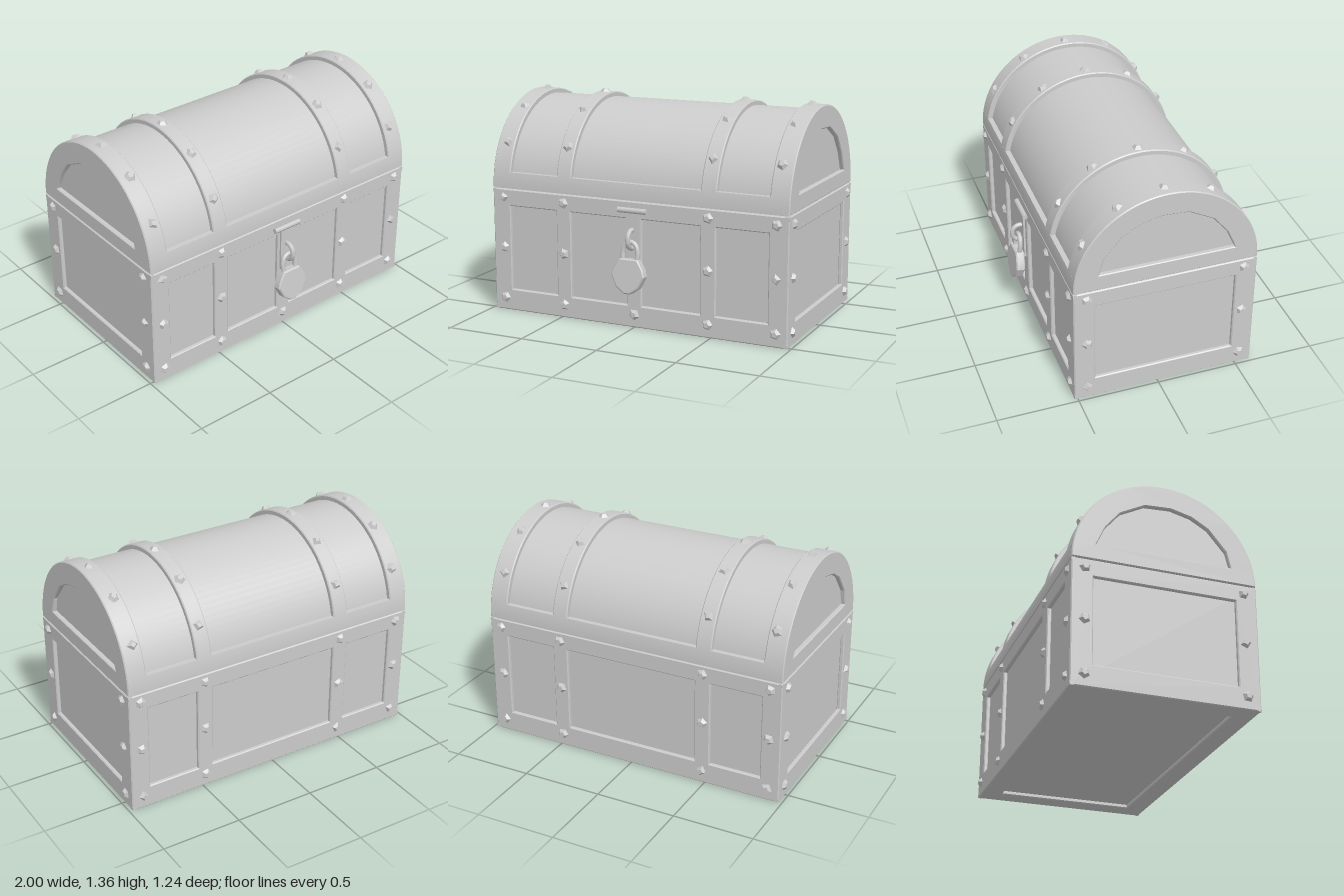
import * as THREE from 'three';
import { toCreasedNormals } from 'three/addons/utils/BufferGeometryUtils.js';

const W = 0.98, D = 0.56, H = 0.775, LID = 0.78, R = 0.56, T = 0.028, B = 0.006;
const mat = new THREE.MeshStandardMaterial({ color: 0xcccccc });
const faceted = new THREE.MeshStandardMaterial({ color: 0xcccccc, flatShading: true });

function add(parent, name, geo, material = mat) {
  const m = new THREE.Mesh(geo, material);
  m.name = name;
  parent.add(m);
  return m;
}

const rect = (x0, x1, y0, y1, Type = THREE.Path) => new Type(
  [[x0, y0], [x1, y0], [x1, y1], [x0, y1]].map(p => new THREE.Vector2(...p)));

// chamfered extrusion whose total thickness is d, outer face at z = 0
function slab(shape, d, bevel = B) {
  const g = new THREE.ExtrudeGeometry(shape, {
    depth: d - 2 * bevel, bevelEnabled: bevel > 0, bevelThickness: bevel,
    bevelSize: bevel, bevelOffset: -bevel, bevelSegments: 1, curveSegments: 22,
  });
  g.translate(0, 0, bevel - d);
  return toCreasedNormals(g, 0.4);
}

// flat frame with rectangular openings
function frame(x, y0, y1, holes) {
  const s = rect(-x, x, y0, y1, THREE.Shape);
  s.holes = holes.map(h => rect(...h));
  return slab(s, T);
}

// profile (across the chest) swept along x from x0 to x1
function sweep(shape, x0, x1, bevel = B) {
  return slab(shape, x1 - x0, bevel).rotateY(Math.PI / 2).translate(x1, 0, 0);
}

function arch(r) {
  const s = new THREE.Shape();
  s.absarc(0, LID, r, 0, Math.PI, false);
  s.closePath();
  return s;
}

function buildBody(chest) {
  const body = new THREE.Group();
  body.name = 'body';
  chest.add(body);
  add(body, 'recessedPanels', new THREE.BoxGeometry(2 * (W - T + 0.002), H - T, 2 * (D - T + 0.002)))
    .position.y = (H + T) / 2 - 0.004;

  const y0 = 0.135, y1 = 0.67;
  const outer = [[-0.857, -0.53, y0, y1], [0.53, 0.857, y0, y1]];
  add(body, 'frontFrame', frame(W, 0, H, [...outer, [-0.43, -0.05, y0, y1], [0.05, 0.43, y0, y1]]))
    .position.z = D;
  const back = add(body, 'backFrame', frame(W, 0, H, [...outer, [-0.43, 0.43, y0, y1]]));
  back.position.z = -D;
  back.rotation.y = Math.PI;
  for (const s of [-1, 1]) {
    const side = add(body, s > 0 ? 'leftFrame' : 'rightFrame', frame(D, 0, H, [[-0.43, 0.43, y0, y1]]));
    side.position.x = s * W;
    side.rotation.y = s * Math.PI / 2;
  }
  add(body, 'bottomFrame', frame(W, -D, D, [[-W + 0.13, W - 0.13, -D + 0.13, D - 0.13]]))
    .rotation.x = Math.PI / 2;
  add(body, 'topRim', frame(W, -D, D, [])).position.y = H;
  body.getObjectByName('topRim').rotation.x = -Math.PI / 2;
}

function buildLid(chest) {
  const lid = new THREE.Group();
  lid.name = 'lid';
  chest.add(lid);
  add(lid, 'lidVault', sweep(arch(R - 0.03), -W + T, W - T, 0));

  // end bands with a sunken arched panel
  const end = arch(R);
  end.holes.push(new THREE.Path([
    [-0.405, 0.88], [-0.38, 0.98], [-0.27, 1.11], [-0.165, 1.17], [-0.04, 1.2],
    [0.12, 1.19], [0.27, 1.11], [0.36, 1.0], [0.415, 0.88],
  ].map(p => new THREE.Vector2(...p))));
  add(lid, 'rightEndBand', sweep(end, -W, -0.857));
  add(lid, 'leftEndBand', sweep(end, 0.857, W));
  add(lid, 'rightMiddleBand', sweep(arch(R), -0.53, -0.43));
  add(lid, 'leftMiddleBand', sweep(arch(R), 0.43, 0.53));

  // lower rail along front and back
  const a = Math.asin(0.1 / R), rail = new THREE.Shape();
  rail.absarc(0, LID, R, 0, a, false);
  rail.absarc(0, LID, R, Math.PI - a, Math.PI, false);
  rail.closePath();
  add(lid, 'lidRail', sweep(rail, -0.95, 0.95));
}

function buildStuds(chest) {
  const studs = new THREE.Group();
  studs.name = 'studs';
  chest.add(studs);
  const kinds = [4, 5, 5].map((n, i) =>
    new THREE.CylinderGeometry(0.018, 0.038, 0.022, n).translate(0, 0.008, 0).scale(1, 1, 0.86 + 0.06 * i));
  const up = new THREE.Vector3(0, 1, 0);
  let seed = 7;
  const rand = () => (seed = (seed * 16807) % 2147483647) / 2147483647;
  const stud = (x, y, z, nx, ny, nz) => {
    const m = add(studs, 'stud', kinds[Math.floor(rand() * 3)], faceted);
    m.position.set(x, y, z);
    m.quaternion.setFromUnitVectors(up, new THREE.Vector3(nx, ny, nz));
    m.rotateY(rand() * Math.PI * 2);
  };
  const columns = [-0.905, -0.48, 0.48, 0.905];
  for (const y of [0.08, 0.405, 0.722]) {
    for (const s of [-1, 1]) {
      for (const x of columns) stud(x, y, s * D, 0, 0, s);
      for (const z of [-0.48, 0.48]) stud(s * W, y, z, s, 0, 0);
    }
  }
  stud(0, 0.08, D, 0, 0, 1);
  for (const x of columns) {
    for (const deg of [-60, -30, 0, 30, 60]) {
      const t = deg * Math.PI / 180, c = Math.cos(t), s = Math.sin(t);
      stud(x, LID + R * c, R * s, 0, c, s);
    }
  }
}

const tube = (pts, r) => new THREE.TubeGeometry(
  new THREE.CatmullRomCurve3(pts.map(p => new THREE.Vector3(...p))), 20, r, 8);

function buildLock(chest) {
  const lock = new THREE.Group();
  lock.name = 'lock';
  lock.position.z = D;
  chest.add(lock);
  add(lock, 'haspHinge', new THREE.CylinderGeometry(0.017, 0.017, 0.19, 8).rotateZ(Math.PI / 2))
    .position.set(0, 0.725, 0.02);
  add(lock, 'haspStrap', new THREE.BoxGeometry(0.084, 0.33, 0.012)).position.set(0, 0.555, 0.014);
  add(lock, 'staple', tube([[0, 0.605, 0], [0, 0.608, 0.045], [0, 0.585, 0.075],
    [0, 0.535, 0.078], [0, 0.505, 0.05], [0, 0.495, 0]], 0.015));

  // padlock hangs tilted, its lower end away from the chest
  const padlock = new THREE.Group();
  padlock.name = 'padlock';
  padlock.position.set(0, 0.44, 0.052);
  padlock.rotation.x = -0.12;
  lock.add(padlock);
  const half = [[0.02, -0.21], [0.075, -0.17], [0.108, -0.1], [0.098, -0.06], [0.06, 0.0]];
  const outline = [...half, ...half.map(([x, y]) => [-x, y]).reverse()];
  const plate = new THREE.Shape(outline.map(p => new THREE.Vector2(...p)));
  add(padlock, 'padlockBody', slab(plate, 0.056, 0.007)).position.z = 0.028;
  add(padlock, 'shackle', tube([[-0.045, -0.02, 0], [-0.048, 0.045, 0], [-0.032, 0.085, 0],
    [0, 0.1, 0], [0.032, 0.085, 0], [0.048, 0.045, 0], [0.045, -0.02, 0]], 0.015));
}

export function createModel() {
  const model = new THREE.Group();
  model.name = 'chest';
  const chest = new THREE.Group();
  chest.name = 'chestParts';
  chest.position.z = -0.04;
  model.add(chest);
  buildBody(chest);
  buildLid(chest);
  buildStuds(chest);
  buildLock(chest);
  return model;
}
